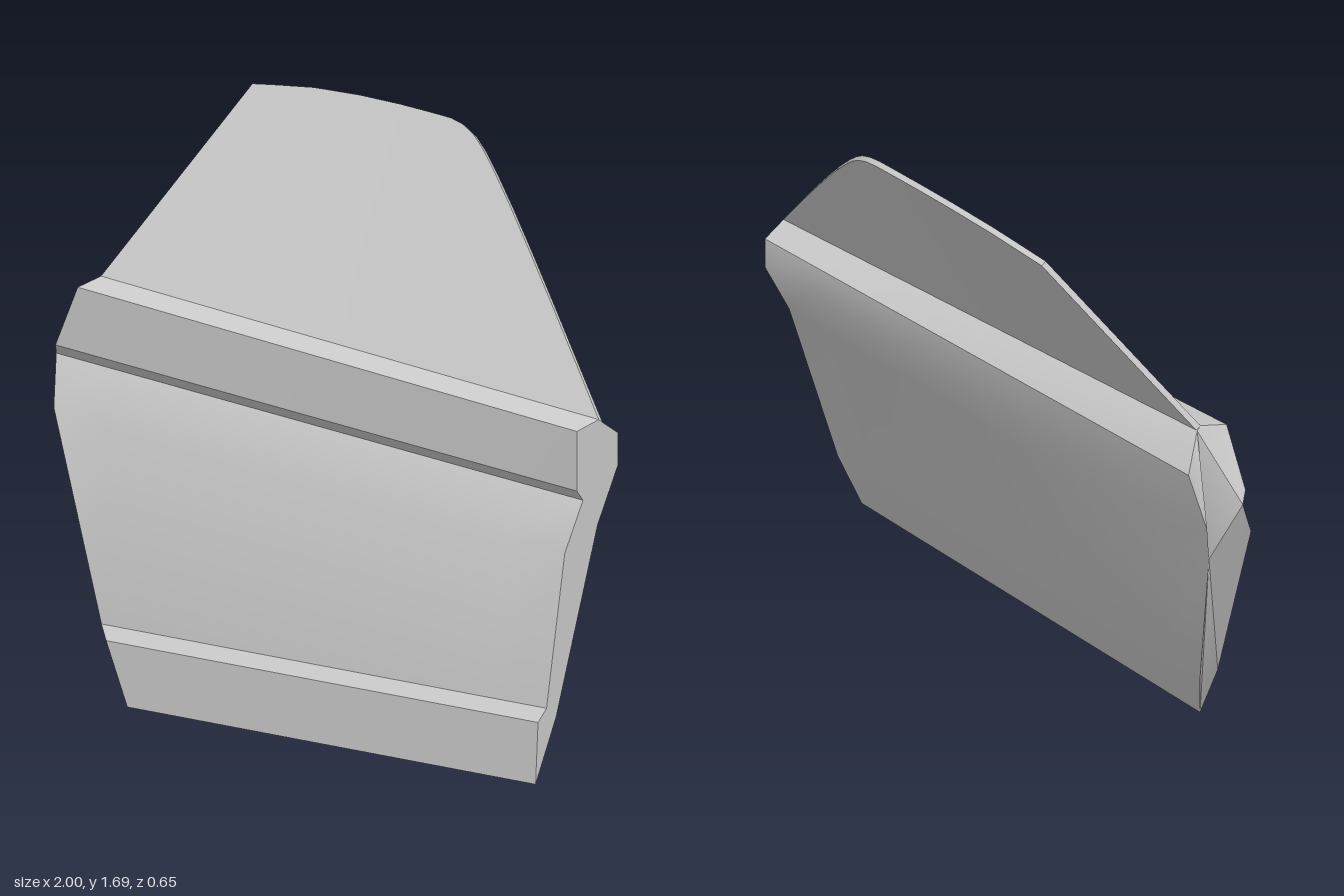
import * as THREE from 'three';
import { toCreasedNormals } from 'three/addons/utils/BufferGeometryUtils.js';

const material = new THREE.MeshStandardMaterial({ color: 0xcccccc, side: THREE.DoubleSide });

// Skins closed loops of [x, y, z] points that follow each other towards +x.
function loft(name, sections, capped) {
  const n = sections[0].length, last = sections.length - 1;
  const index = [];
  for (let s = 0; s < last; s++) {
    for (let i = 0; i < n; i++) {
      const a = s * n + i, b = s * n + (i + 1) % n;
      index.push(a, a + n, b + n, a, b + n, b);
    }
  }
  if (capped) {
    for (const s of [0, last]) {
      const contour = sections[s].map(([, y, z]) => new THREE.Vector2(z, y));
      for (const [a, b, c] of THREE.ShapeUtils.triangulateShape(contour, [])) {
        const o = s * n;
        if (s === 0) index.push(o + a, o + b, o + c);
        else index.push(o + a, o + c, o + b);
      }
    }
  }
  const geometry = new THREE.BufferGeometry();
  geometry.setAttribute('position', new THREE.Float32BufferAttribute(sections.flat(2), 3));
  geometry.setIndex(index);
  const mesh = new THREE.Mesh(toCreasedNormals(geometry, THREE.MathUtils.degToRad(30)), material);
  mesh.name = name;
  return mesh;
}

// Door panel: the profile at the straight edge blends into the one at the slanted edge.
function doorPanel() {
  const straight = [
    [1, 0, 0.32], [1, 0.175, 0.31], [1, 0.21, 0.275], [1, 0.64, 0.2],
    [1, 0.78, 0.125], [1, 0.81, 0.15], [1, 0.98, 0.15], [1, 1, 0.06],
    [1, 0.99, 0.045], [1, 0.95, -0.02], [1, 0.86, -0.02], [1, 0.7, 0.065], [1, 0.18, 0.235],
  ];
  const slanted = [
    [-0.55, 0, 0.32], [-0.64, 0.175, 0.31], [-0.69, 0.21, 0.275], [-0.94, 0.78, 0.2],
    [-1, 0.915, 0.125], [-0.98, 0.945, 0.15], [-0.9, 1.12, 0.145], [-0.89, 1.14, 0.06],
    [-0.895, 1.13, 0.045], [-0.94, 1.03, -0.02], [-0.96, 0.85, 0.03], [-0.91, 0.72, 0.075], [-0.66, 0.18, 0.235],
  ];
  const steps = 10, sections = [];
  for (let s = 0; s <= steps; s++) {
    sections.push(slanted.map((p, i) => p.map((v, k) => THREE.MathUtils.lerp(v, straight[i][k], s / steps))));
  }
  return loft('doorPanel', sections, true);
}

// Window: a thin pane leaning inwards from the sloping belt line.
function windowPane() {
  const outline = [
    [-0.89, 1.14], [-0.64, 1.67], [-0.55, 1.678], [-0.42, 1.688], [-0.25, 1.69], [-0.1, 1.686],
    [0.02, 1.68], [0.1, 1.675], [0.15, 1.665], [0.2, 1.645], [0.25, 1.615], [0.32, 1.565],
    [0.42, 1.488], [0.55, 1.383], [0.7, 1.258], [0.85, 1.13], [1, 1],
  ];
  const sections = outline.map(([x, top]) => {
    const base = 1 + 0.074 * (1 - x);
    const z = 0.06 - (0.61 - 0.05 * x) * Math.max(0, top - base);
    return [[x, base, 0.06], [x, top, z], [x, top - 0.01, z - 0.014], [x, base - 0.01, 0.045]];
  });
  return loft('windowPane', sections, false);
}

export function createModel() {
  const group = new THREE.Group();
  group.name = 'vehicleDoor';
  group.add(doorPanel(), windowPane());
  return group;
}
